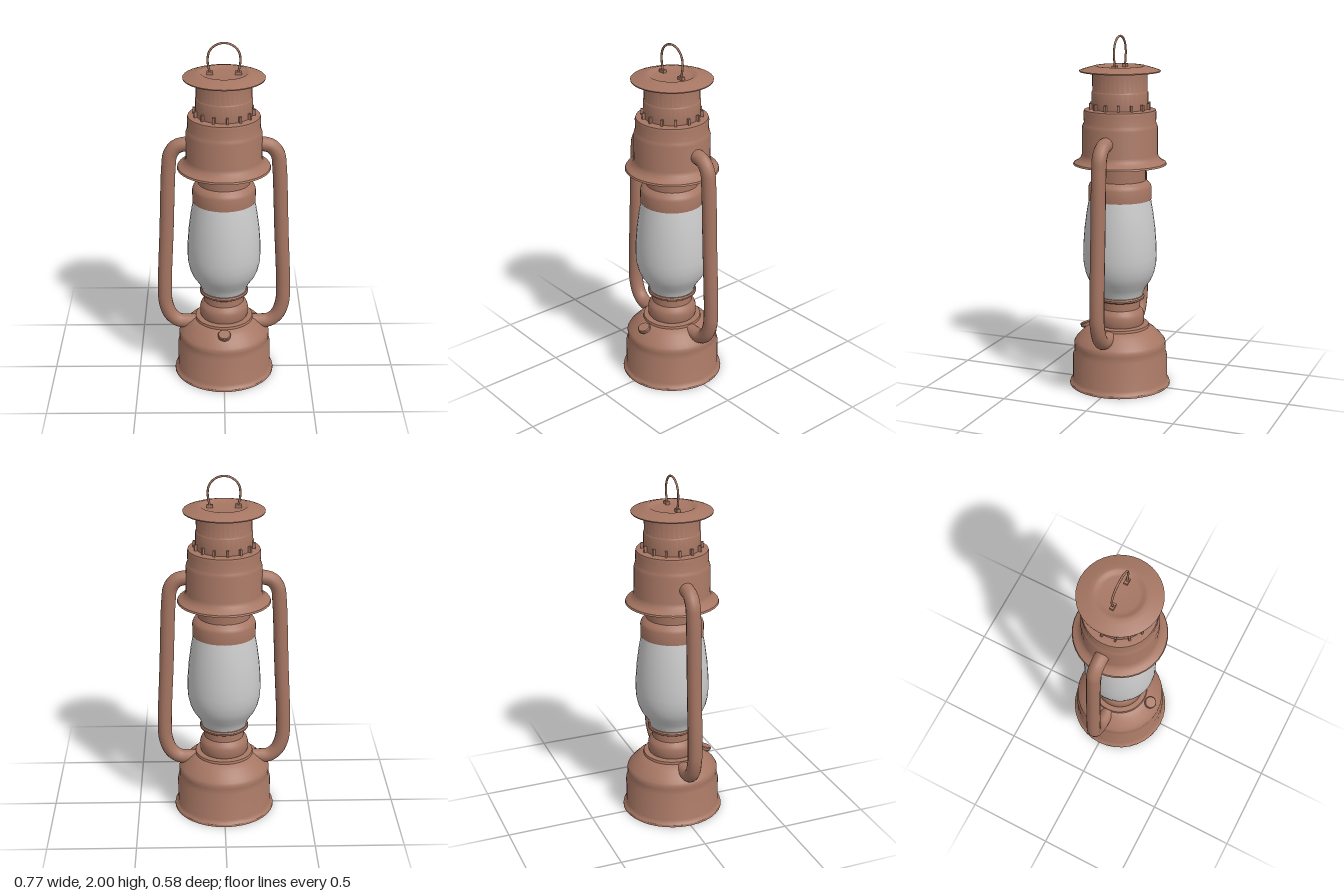
import * as THREE from 'three';
import { toCreasedNormals } from 'three/addons/utils/BufferGeometryUtils.js';

const metal = new THREE.MeshStandardMaterial({ color: 0xa67663 });
const glass = new THREE.MeshStandardMaterial({ color: 0xcccccc });

const v = (x, y, z = 0) => new THREE.Vector3(x, y, z);

export function createModel() {
  const model = new THREE.Group();

  function add(name, geometry, parent = model, material = metal) {
    const mesh = new THREE.Mesh(geometry, material);
    mesh.name = name;
    parent.add(mesh);
    return mesh;
  }

  // Turned solid from [radius, height] pairs, bottom to top, with sharp edges kept
  function turned(name, profile, parent = model, material = metal, sides = 36) {
    const points = profile.map(([r, y]) => new THREE.Vector2(r, y));
    return add(name, toCreasedNormals(new THREE.LatheGeometry(points, sides), 0.6), parent, material);
  }

  // Fuel tank with foot rim and rounded shoulder
  turned('fuelTank', [
    [0, 0], [0.29, 0], [0.288, 0.012], [0.28, 0.02], [0.272, 0.035], [0.271, 0.175],
    [0.262, 0.195], [0.262, 0.23], [0.263, 0.25], [0.255, 0.265], [0.235, 0.287],
    [0.205, 0.318], [0.178, 0.338], [0.168, 0.342], [0.165, 0.356], [0.135, 0.36], [0, 0.36],
  ]);

  // Burner neck and the ring that seats the globe
  turned('burner', [
    [0, 0.355], [0.132, 0.355], [0.138, 0.37], [0.139, 0.415], [0.132, 0.435],
    [0.114, 0.455], [0.111, 0.5], [0.13, 0.504], [0.139, 0.51], [0.14, 0.52],
    [0.135, 0.528], [0.115, 0.53], [0, 0.53],
  ]);

  // Glass globe
  turned('globe', [
    [0, 0.525], [0.128, 0.525], [0.135, 0.55], [0.15, 0.58], [0.178, 0.62], [0.195, 0.66],
    [0.206, 0.71], [0.209, 0.76], [0.207, 0.83], [0.2, 0.92], [0.188, 1.01],
    [0.174, 1.09], [0, 1.09],
  ], model, glass);

  // Collar above the globe
  turned('collar', [
    [0, 1.087], [0.178, 1.087], [0.178, 1.155], [0.172, 1.172], [0.158, 1.184],
    [0.146, 1.195], [0.145, 1.29], [0, 1.29],
  ]);

  // Hood with flared brim
  turned('hood', [
    [0, 1.285], [0.262, 1.285], [0.258, 1.295], [0.235, 1.308], [0.218, 1.325], [0.212, 1.345],
    [0.212, 1.49], [0.207, 1.507], [0.201, 1.52], [0.203, 1.575], [0.199, 1.59],
    [0.165, 1.595], [0, 1.595],
  ]);

  // Chimney
  turned('chimney', [
    [0, 1.59], [0.157, 1.59], [0.157, 1.688], [0.153, 1.694], [0.153, 1.815], [0, 1.815],
  ]);

  // Small tabs ringing the chimney foot
  const tabs = new THREE.Group();
  tabs.name = 'chimneyTabs';
  model.add(tabs);
  for (let i = 0; i < 14; i++) {
    const a = 0.1 + (i / 14) * Math.PI * 2;
    const tab = add('chimneyTab', new THREE.BoxGeometry(0.012, 0.04, 0.018), tabs);
    tab.position.set(Math.sin(a) * 0.163, 1.608, Math.cos(a) * 0.163);
    tab.rotation.y = a;
  }

  // Cap with a shallow dish in its top
  turned('cap', [
    [0, 1.805], [0.15, 1.805], [0.224, 1.8], [0.225, 1.806], [0.2, 1.815], [0.165, 1.825],
    [0.14, 1.832], [0.128, 1.831], [0.115, 1.822], [0.1, 1.82], [0, 1.82],
  ]);

  // Wire bail with its two feet
  const bail = new THREE.Group();
  bail.name = 'bail';
  model.add(bail);
  const arch = [v(-0.074, 1.825), v(-0.082, 1.855), v(-0.088, 1.9)];
  for (let i = 1; i < 8; i++) {
    const a = Math.PI * (1 - i / 8);
    arch.push(v(Math.cos(a) * 0.088, 1.908 + Math.sin(a) * 0.086));
  }
  arch.push(v(0.088, 1.9), v(0.082, 1.855), v(0.074, 1.825));
  add('bailWire', new THREE.TubeGeometry(new THREE.CatmullRomCurve3(arch), 48, 0.006, 8), bail);

  // Side air tubes, mirrored
  for (const s of [1, -1]) {
    const path = new THREE.CatmullRomCurve3([
      v(s * 0.16, 1.42), v(s * 0.22, 1.42), v(s * 0.265, 1.405), v(s * 0.298, 1.36),
      v(s * 0.308, 1.29), v(s * 0.326, 0.9), v(s * 0.343, 0.52), v(s * 0.338, 0.43),
      v(s * 0.31, 0.355), v(s * 0.265, 0.317), v(s * 0.21, 0.31), v(s * 0.15, 0.312),
    ]);
    add(s > 0 ? 'leftAirTube' : 'rightAirTube', new THREE.TubeGeometry(path, 72, 0.041, 14));
    const foot = add('bailFoot', new THREE.BoxGeometry(0.036, 0.018, 0.022), bail);
    foot.position.set(s * 0.077, 1.828, 0);
  }

  // Filler cap leaning forward on the tank shoulder
  const filler = turned('fillerCap', [
    [0, -0.03], [0.034, -0.03], [0.026, -0.008], [0.025, 0.02], [0.036, 0.03],
    [0.037, 0.045], [0.033, 0.05], [0, 0.05],
  ], model, metal, 20);
  filler.position.set(0, 0.292, 0.195);
  filler.rotation.x = 0.35;

  return model;
}
